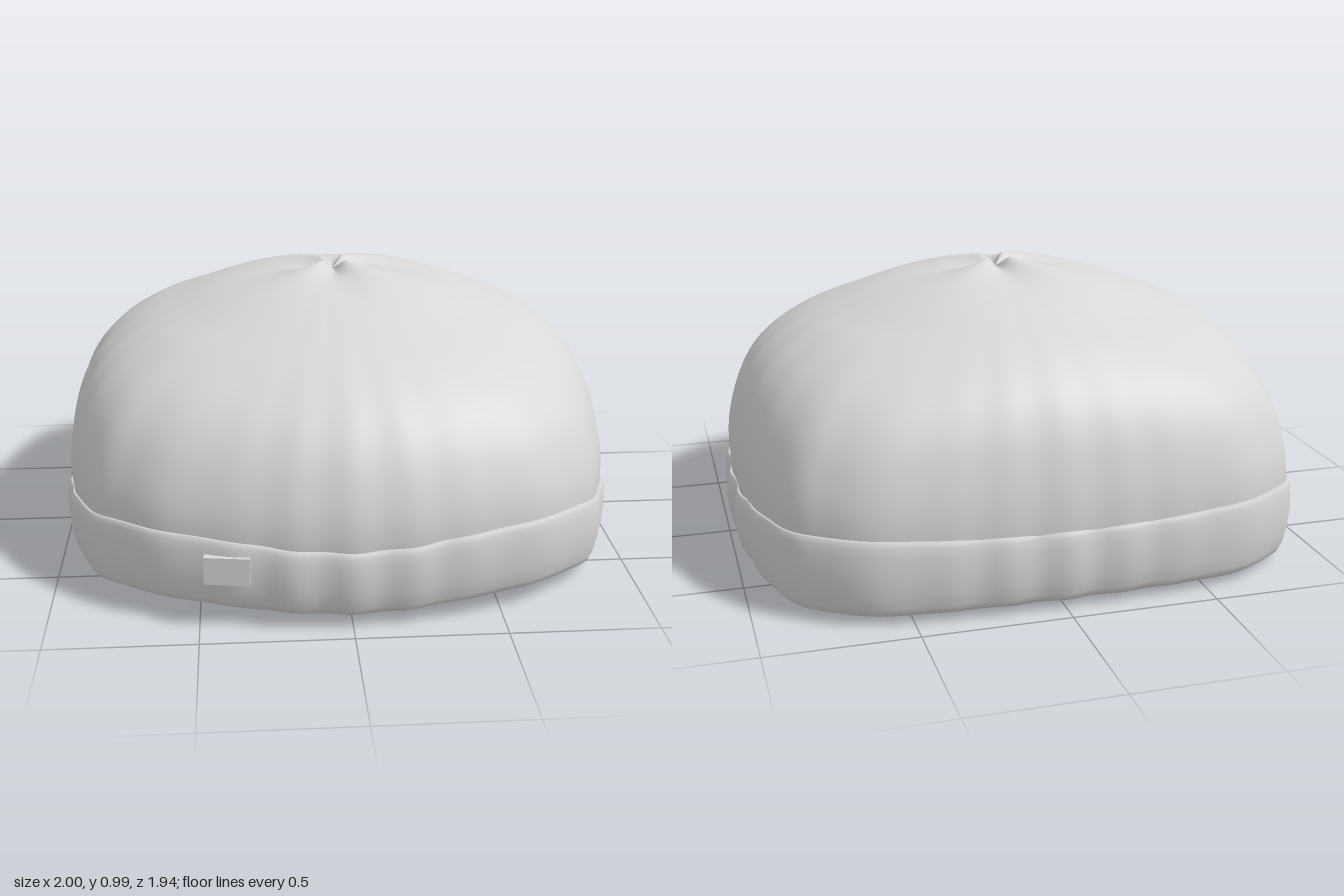
import * as THREE from 'three';

const N = 256, CZ = -0.056; // samples around the hat, z of the crown's centre

// Half of the plan outline, back to front: x, z, cuff bottom, cuff top
const half = [
  [0, -0.96, 0.03, 0.285], [0.2, -0.955, 0.03, 0.285], [0.4, -0.945, 0.03, 0.29], [0.63, -0.915, 0.03, 0.3],
  [0.78, -0.835, 0.028, 0.3], [0.885, -0.73, 0.025, 0.295], [0.955, -0.49, 0.02, 0.275], [0.985, -0.25, 0.01, 0.25],
  [0.99, 0, 0.005, 0.24], [0.98, 0.2, 0.011, 0.25], [0.95, 0.38, 0.025, 0.27], [0.87, 0.61, 0.045, 0.3],
  [0.765, 0.725, 0.06, 0.315], [0.63, 0.825, 0.068, 0.32], [0.4, 0.9, 0.06, 0.308], [0.2, 0.94, 0.05, 0.288],
  [0, 0.955, 0.046, 0.28],
];
const full = [...half, ...half.slice(1, -1).reverse().map(([x, ...r]) => [-x, ...r])];
const loop = (k) => new THREE.CatmullRomCurve3(
  full.map((p) => new THREE.Vector3(p[0], p[k], p[1])), true, 'catmullrom', 0.5);
const lower = loop(2), upper = loop(3);

// Everything a cross-section needs to know about one direction
const rim = Array.from({ length: N }, (_, i) => {
  const t = i / N, a = lower.getPoint(t), b = upper.getPoint(t);
  const r = Math.hypot(a.x, a.z - CZ), dx = a.x / r, dz = (a.z - CZ) / r;
  const oval = 1 / Math.hypot(dx / 0.985, dz / (dz > 0 ? 1.01 : 0.905)); // outline without corners
  const straight = (dx * dx - dz * dz) ** 2; // folds fade out at the corners
  return { r, dx, dz, oval, bottom: a.y, top: b.y, fold: straight * Math.cos(t * 64 * Math.PI) };
});

// Joins rings of points into a smooth skin
function skin(rows, pointAt) {
  const pos = [], idx = [];
  rows.forEach((row) => rim.forEach((d) => pos.push(...pointAt(row, d))));
  for (let j = 0; j < rows.length - 1; j++) {
    for (let i = 0; i < N; i++) {
      const a = j * N + i, b = j * N + (i + 1) % N;
      idx.push(a, a + N, b, b, a + N, b + N);
    }
  }
  const g = new THREE.BufferGeometry();
  g.setAttribute('position', new THREE.Float32BufferAttribute(pos, 3));
  g.setIndex(idx);
  g.computeVertexNormals();
  return g;
}

// Crown: rings shrink and round off upward, with soft folds and a pinched centre
const profile = new THREE.CatmullRomCurve3([
  [0.975, 0.15], [0.988, 0.3], [0.976, 0.43], [0.928, 0.59], [0.855, 0.7], [0.725, 0.8], [0.565, 0.87],
  [0.41, 0.925], [0.23, 0.97], [0.11, 0.99], [0.06, 0.998],
].map(([s, y]) => new THREE.Vector3(s, y, 0)));
const crownRows = profile.getSpacedPoints(44).map((p) => [p.x, p.y]);
crownRows.push([0.03, 0.978], [0.0005, 0.958]);

function crownGeometry(size, drop, foldDepth) {
  return skin(crownRows, ([s, y], d) => {
    const front = Math.max(0, d.dz) ** 2;
    const scale = s - 0.62 * front * s * s * (1 - s);
    const round = THREE.MathUtils.lerp(d.r, d.oval, Math.min(1, 2.8 * (1 - s)));
    const r = round * scale * size * (1 + foldDepth * d.fold * s);
    const valley = 0.5 + 0.5 * Math.cos(4 * Math.atan2(d.dz, d.dx));
    const dip = s < 0.05 ? s * 0.65 : 0.04 * Math.exp(-(s - 0.06) * 4.5);
    return [d.dx * r, y - drop - valley * dip, CZ + d.dz * r];
  });
}

// Cuff: from the inside wall, around the double lip at the bottom, up to the
// turned-in top edge, as inset and fraction of the band height
function cuffGeometry() {
  const rows = [
    [0.06, 1], [0.075, 0.75], [0.1, 0.5], [0.118, 0.28], [0.12, 0.16], [0.112, 0.08], [0.095, 0.03], [0.08, 0.02],
    [0.072, 0.07], [0.066, 0.02], [0.055, 0], [0.042, 0.01], [0.028, 0.05], [0.017, 0.14], [0.005, 0.35], [0, 0.6],
    [0.002, 0.8], [0.006, 0.92], [0.012, 0.98], [0.018, 1], [0.028, 0.97], [0.035, 0.85],
  ];
  return skin(rows, ([inset, f], d) => {
    const r = d.r - inset + 0.003 + 0.008 * d.fold * (1 - inset * 8);
    return [d.dx * r, THREE.MathUtils.lerp(d.bottom, d.top, f), CZ + d.dz * r];
  });
}

export function createModel() {
  const model = new THREE.Group();
  model.name = 'knitCap';
  const fabric = new THREE.MeshStandardMaterial({ color: 0xd8d8d8, side: THREE.DoubleSide });
  fabric.name = 'light grey fabric';
  const add = (name, geometry) => {
    const mesh = new THREE.Mesh(geometry, fabric);
    mesh.name = name;
    model.add(mesh);
    return mesh;
  };

  add('crown', crownGeometry(1, 0, 0.004));
  add('lining', crownGeometry(0.955, 0.035, 0));
  add('cuff', cuffGeometry());

  // Small blank tag sewn on the front of the cuff
  const tag = add('tag', new THREE.BoxGeometry(0.15, 0.095, 0.03));
  tag.position.set(-0.405, 0.215, 0.902);
  tag.rotation.y = -0.15;
  return model;
}
